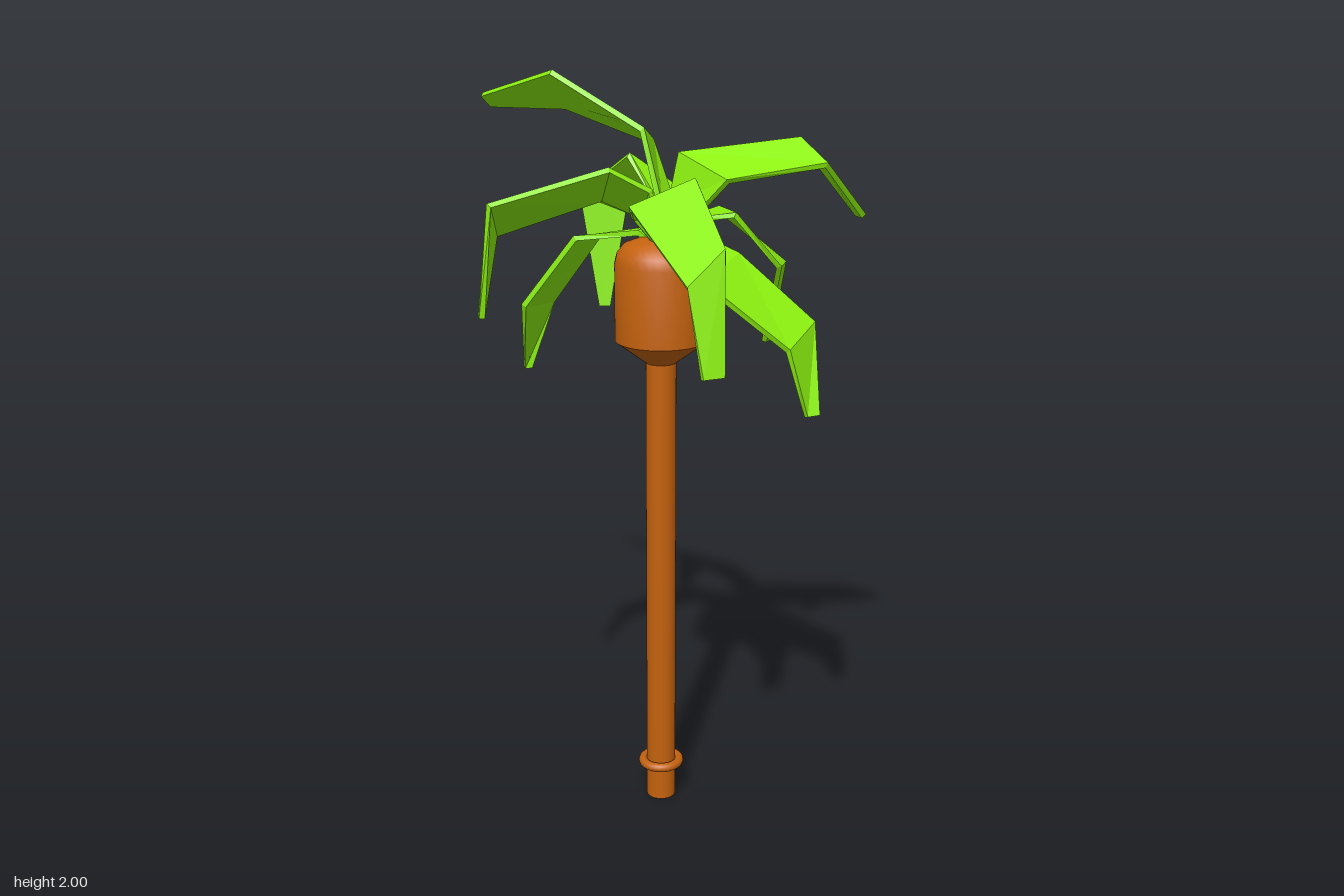
import * as THREE from 'three';
import { toCreasedNormals } from 'three/addons/utils/BufferGeometryUtils.js';

const CX = -0.015, CZ = 0.038; // trunk axis
const THICK = 0.015;

// Each frond: [left, right] edge points from the base to the tip
const FRONDS = {
  tallBackFrond: [
    [[-0.01, 1.66, 0.05], [0.05, 1.67, -0.04]], [[-0.05, 1.87, 0.01], [0.03, 1.82, -0.15]],
    [[-0.23, 2.0, -0.19], [-0.16, 1.9, -0.3]], [[-0.34, 1.92, -0.51], [-0.31, 1.89, -0.52]]],
  backFrond: [
    [[0, 1.68, -0.03], [0.08, 1.63, -0.02]], [[-0.04, 1.79, -0.14], [0.1, 1.69, -0.11]],
    [[-0.09, 1.65, -0.43], [0.03, 1.6, -0.39]], [[-0.05, 1.33, -0.4], [-0.02, 1.33, -0.39]]],
  leftFrond: [
    [[0.07, 1.63, -0.04], [0.05, 1.64, 0.03]], [[0.185, 1.65, -0.075], [0.165, 1.66, 0.1]],
    [[0.38, 1.49, -0.07], [0.3, 1.51, 0.085]], [[0.355, 1.27, -0.1], [0.325, 1.27, -0.065]]],
  rightFrond: [
    [[-0.04, 1.72, 0.045], [-0.03, 1.64, -0.05]], [[-0.155, 1.78, 0.045], [-0.14, 1.69, -0.075]],
    [[-0.47, 1.71, 0.07], [-0.42, 1.61, -0.09]], [[-0.49, 1.42, 0.03], [-0.487, 1.42, 0.005]]],
  frontFrond: [
    [[-0.02, 1.69, 0.065], [-0.11, 1.66, 0.085]], [[0.01, 1.77, 0.22], [-0.14, 1.7, 0.16]],
    [[0, 1.64, 0.45], [-0.1, 1.56, 0.47]], [[-0.02, 1.35, 0.51], [-0.075, 1.35, 0.515]]],
  tallLeftFrond: [
    [[0, 1.68, 0.045], [0.02, 1.65, 0.14]], [[0.03, 1.81, 0.04], [0.095, 1.76, 0.21]],
    [[0.31, 1.85, 0.16], [0.33, 1.8, 0.28]], [[0.49, 1.65, 0.135], [0.49, 1.65, 0.175]]],
  lowFrontFrond: [
    [[0.05, 1.62, 0.07], [0, 1.6, 0.11]], [[0.15, 1.57, 0.16], [0.01, 1.53, 0.3]],
    [[0.305, 1.41, 0.29], [0.195, 1.37, 0.39]], [[0.275, 1.2, 0.4], [0.24, 1.2, 0.405]]],
  lowBackFrond: [
    [[-0.06, 1.61, -0.01], [-0.02, 1.61, -0.05]], [[-0.21, 1.59, -0.09], [-0.11, 1.57, -0.21]],
    [[-0.33, 1.4, -0.18], [-0.22, 1.38, -0.3]], [[-0.3, 1.2, -0.295], [-0.28, 1.2, -0.295]]],
};

// Thick folded ribbon lofted through the edge pairs
function frondGeometry(sections) {
  // all fronds start as a thin stalk in the crown of the head
  const stalk = new THREE.Vector3(CX, 1.57, CZ);
  const pairs = sections.map(p => p.map(c => new THREE.Vector3(...c)));
  const half = pairs[0][1].clone().sub(pairs[0][0]).setLength(0.012);
  pairs.unshift([stalk.clone().sub(half), stalk.clone().add(half)]);

  const mid = pairs.map(([l, r]) => l.clone().add(r).multiplyScalar(0.5));
  const last = pairs.length - 1;
  const rings = pairs.map(([l, r], i) => {
    const along = mid[Math.min(i + 1, last)].clone().sub(mid[Math.max(i - 1, 0)]);
    const down = r.clone().sub(l).cross(along).setLength(-THICK);
    return [l, r, r.clone().add(down), l.clone().add(down)];
  });

  const pos = [];
  const quad = (a, b, c, d) => [a, b, c, a, c, d].forEach(v => pos.push(v.x, v.y, v.z));
  for (let i = 0; i < last; i++) {
    for (let k = 0; k < 4; k++) {
      const n = (k + 1) % 4;
      quad(rings[i][k], rings[i][n], rings[i + 1][n], rings[i + 1][k]);
    }
  }
  quad(rings[0][3], rings[0][2], rings[0][1], rings[0][0]);
  quad(...rings[last]);

  const geo = new THREE.BufferGeometry();
  geo.setAttribute('position', new THREE.Float32BufferAttribute(pos, 3));
  geo.computeVertexNormals();
  return geo;
}

export function createModel() {
  const model = new THREE.Group();
  const bark = new THREE.MeshStandardMaterial({ color: 0xc4620e });
  const leaf = new THREE.MeshStandardMaterial({ color: 0x8cf010, flatShading: true, side: THREE.DoubleSide });

  const add = (name, geometry, material, x = 0, y = 0, z = 0) => {
    const mesh = new THREE.Mesh(geometry, material);
    mesh.name = name;
    mesh.position.set(x, y, z);
    model.add(mesh);
    return mesh;
  };

  // Trunk with a ring near the foot
  add('trunk', new THREE.CylinderGeometry(0.04, 0.04, 1.28, 32), bark, CX, 0.64, CZ);
  const ring = add('trunkRing', new THREE.TorusGeometry(0.05, 0.013, 10, 32), bark, CX, 0.105, CZ);
  ring.rotation.x = Math.PI / 2;

  // Swollen head: flared foot, straight wall, rounded shoulder
  const profile = [[0, 1.27], [0.04, 1.27], [0.12, 1.33], [0.12, 1.53], [0.113, 1.558], [0.095, 1.58], [0.06, 1.593], [0, 1.597]]
    .map(([r, y]) => new THREE.Vector2(r, y));
  add('trunkHead', toCreasedNormals(new THREE.LatheGeometry(profile, 32), 0.6), bark, CX, 0, CZ);

  // Small bud on the side of the head
  add('bud', new THREE.IcosahedronGeometry(0.014, 1), leaf, 0.1, 1.54, 0.03);

  // Crown of drooping fronds
  for (const [name, sections] of Object.entries(FRONDS)) add(name, frondGeometry(sections), leaf);

  return model;
}
